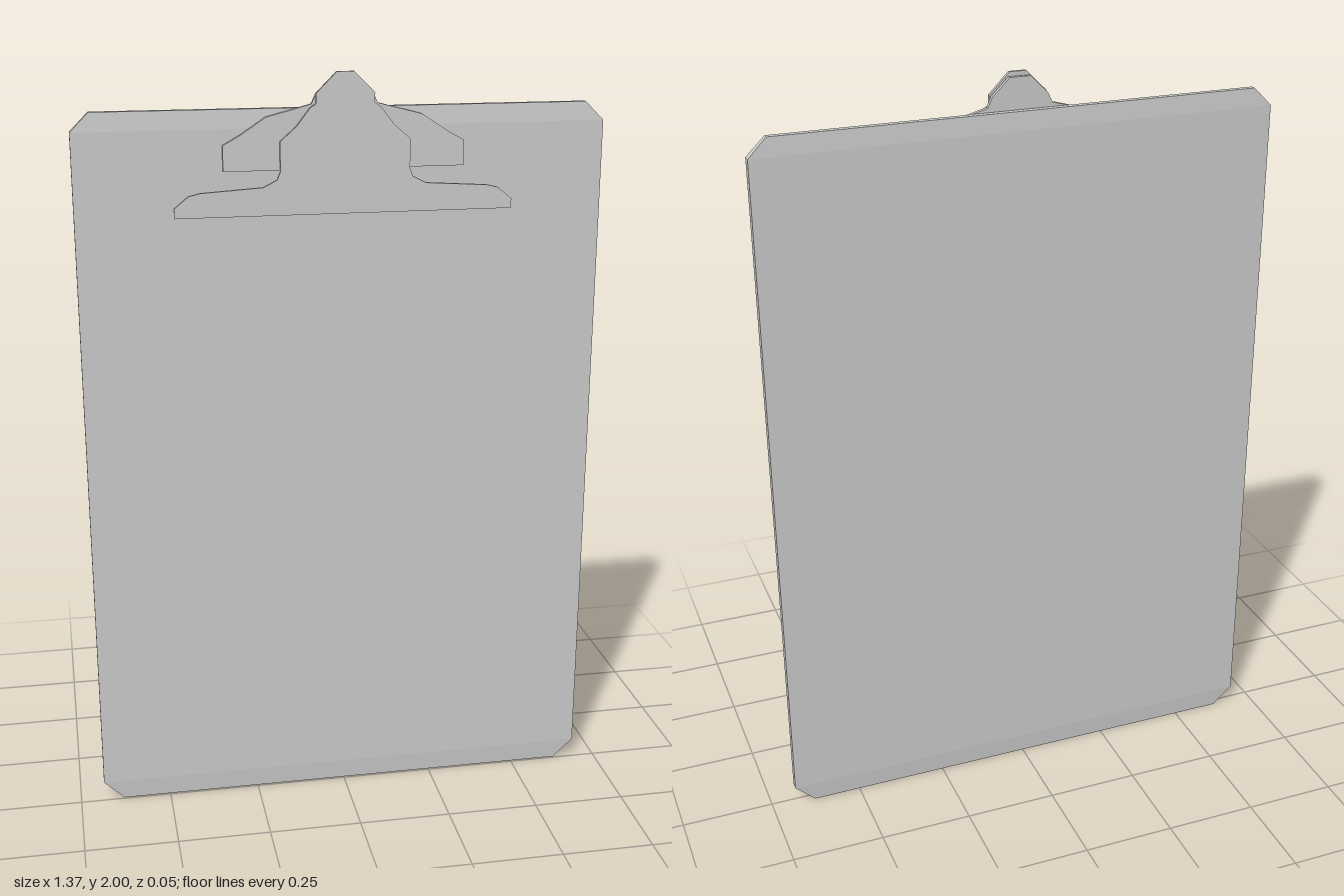
import * as THREE from 'three';

const material = new THREE.MeshStandardMaterial({ color: 0xcccccc, flatShading: true });

// Flat plate cut from a half outline (bottom to top, x > 0) mirrored about x = 0
function plate(name, half, back, thickness) {
  const mirrored = half.map(([x, y]) => [-x, y]).reverse();
  const shape = new THREE.Shape([...half, ...mirrored].map(([x, y]) => new THREE.Vector2(x, y)));
  const geometry = new THREE.ExtrudeGeometry(shape, { depth: thickness, bevelEnabled: false });
  geometry.translate(0, 0, back);
  const mesh = new THREE.Mesh(geometry, material);
  mesh.name = name;
  return mesh;
}

// Board: a box in three bands, with clipped corners and slightly thinned ends
function makeBoard() {
  const rows = [ // y, half width, half thickness
    [1.91, 0.637, 0.008],
    [1.862, 0.685, 0.0115],
    [0.055, 0.685, 0.0115],
    [0, 0.63, 0.008],
  ];
  const geometry = new THREE.BoxGeometry(2, 3, 2, 1, 3, 1);
  const p = geometry.attributes.position;
  for (let i = 0; i < p.count; i++) {
    const [y, w, t] = rows[Math.round(1.5 - p.getY(i))];
    p.setXYZ(i, Math.sign(p.getX(i)) * w, y, Math.sign(p.getZ(i)) * t - 0.0125);
  }
  geometry.computeVertexNormals();
  const mesh = new THREE.Mesh(geometry, material);
  mesh.name = 'board';
  return mesh;
}

export function createModel() {
  const model = new THREE.Group();
  model.name = 'clipboard';
  model.add(makeBoard());

  // Mounting bracket lying against the board
  model.add(plate('clipBracket', [
    [0.31, 1.757], [0.31, 1.822], [0.265, 1.847], [0.2, 1.89], [0.13, 1.908],
    [0.085, 1.92], [0.073, 1.945], [0.028, 1.99],
  ], -0.001, 0.011));

  // Wide clamping plate standing in front of the bracket
  model.add(plate('clipPlate', [
    [0.437, 1.645], [0.437, 1.67], [0.4, 1.7], [0.37, 1.707], [0.21, 1.717],
    [0.175, 1.735], [0.167, 1.755], [0.167, 1.83], [0.125, 1.867], [0.09, 1.912],
    [0.075, 1.922], [0.075, 1.947], [0.022, 2.0],
  ], 0.015, 0.009));

  return model;
}
